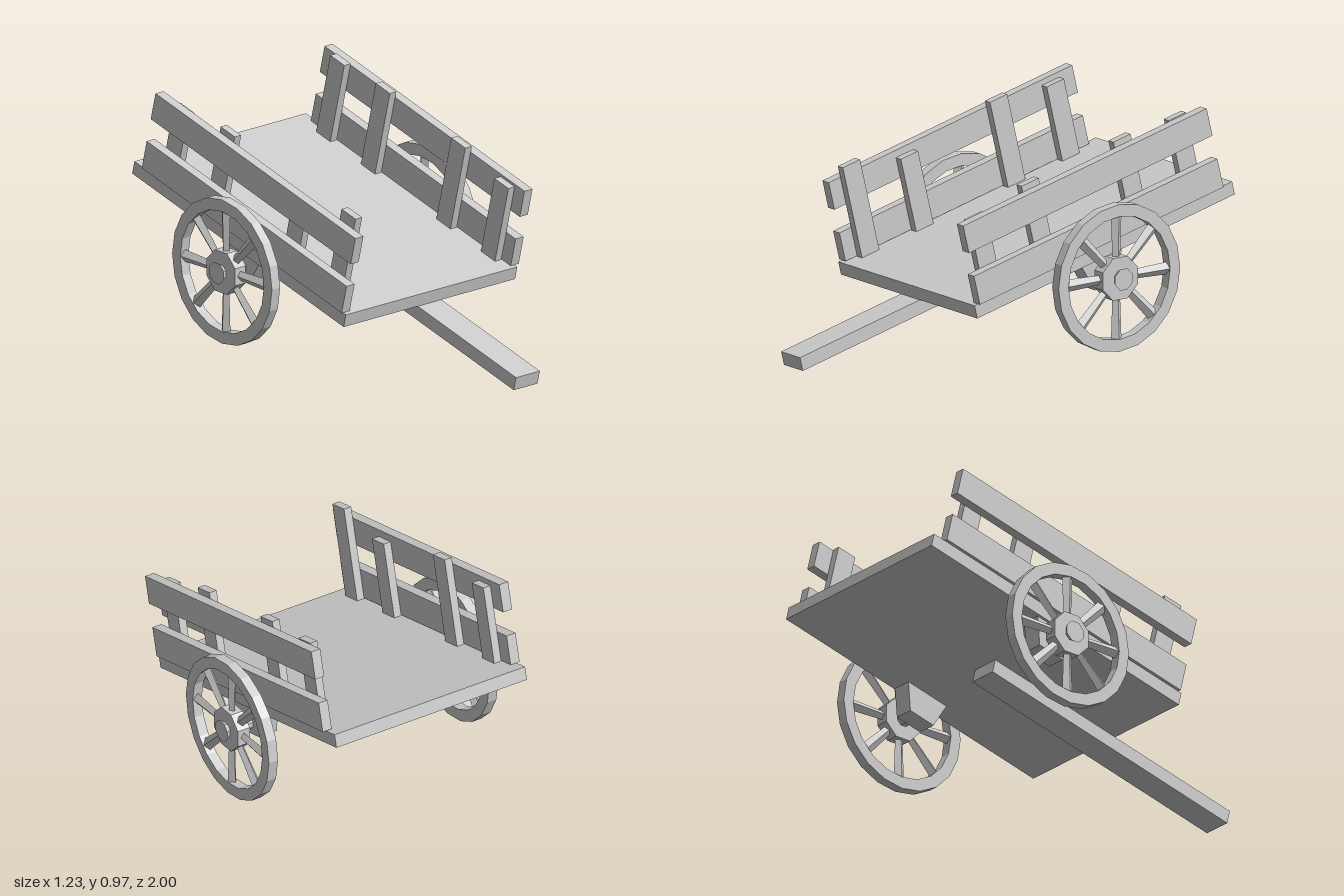
import * as THREE from 'three';

const material = new THREE.MeshStandardMaterial({ color: 0xcccccc, flatShading: true });

function add(parent, name, geometry, x = 0, y = 0, z = 0) {
  const mesh = new THREE.Mesh(geometry, material);
  mesh.name = name;
  mesh.position.set(x, y, z);
  parent.add(mesh);
  return mesh;
}

// Box given by its limits on each axis
function block(parent, name, [x0, x1], [y0, y1], [z0, z1]) {
  return add(parent, name, new THREE.BoxGeometry(Math.abs(x1 - x0), y1 - y0, z1 - z0),
    (x0 + x1) / 2, (y0 + y1) / 2, (z0 + z1) / 2);
}

// Cylinder lying along x; side = 1 or -1 turns its top end outward
function hubPart(parent, name, outerR, innerR, x0, x1, side) {
  const geometry = new THREE.CylinderGeometry(outerR, innerR, x1 - x0, 8);
  geometry.rotateY(Math.PI / 8);
  geometry.rotateZ(-side * Math.PI / 2);
  return add(parent, name, geometry, side * (x0 + x1) / 2);
}

function makeWheel(side) {
  const wheel = new THREE.Group();
  wheel.name = side > 0 ? 'leftWheel' : 'rightWheel';
  wheel.position.set(0, 0.327, -0.31);
  const x = 0.56 * side;

  // Rim: rectangular section swept round the axle
  const section = [[0.27, -0.023], [0.323, -0.023], [0.323, 0.023], [0.27, 0.023], [0.27, -0.023]]
    .map(([r, h]) => new THREE.Vector2(r, h));
  add(wheel, 'rim', new THREE.LatheGeometry(section, 20).rotateZ(Math.PI / 2), x);

  // Eight diamond-section spokes
  for (let i = 0; i < 8; i++) {
    const spoke = new THREE.CylinderGeometry(0.028, 0.02, 0.21, 4);
    spoke.scale(0.75, 1, 1);
    spoke.translate(0, 0.175, 0);
    spoke.rotateX(i * Math.PI / 4);
    add(wheel, 'spoke', spoke, x);
  }

  hubPart(wheel, 'hub', 0.1, 0.1, 0.53, 0.59, side);
  hubPart(wheel, 'axle', 0.035, 0.035, 0.43, 0.6, side);
  hubPart(wheel, 'axleCap', 0.05, 0.03, 0.585, 0.614, side);
  return wheel;
}

export function createModel() {
  const cart = new THREE.Group();
  cart.name = 'handCart';

  // Everything but the wheels leans forward onto the pole
  const body = new THREE.Group();
  body.name = 'body';
  body.position.set(0, 0.43, -0.309);
  body.rotation.x = 0.244;
  cart.add(body);

  block(body, 'bed', [-0.488, 0.48], [-0.03, 0.03], [-0.705, 0.705]);
  block(body, 'pole', [-0.067, 0.067], [-0.094, -0.032], [0.02, 1.358]);

  // Slat positions along the bed, with the top heights on each side
  const slats = [
    { z: 0.58, left: 0.39, right: 0.453 },
    { z: 0.283, left: 0.43, right: 0.37 },
    { z: -0.22, left: 0.429, right: 0.429 },
    { z: -0.518, left: 0.407, right: 0.378 },
  ];

  for (const side of [1, -1]) {
    const rail = [side * 0.455, side * 0.5];
    block(body, 'lowerRail', rail, [0.033, 0.166], [-0.643, 0.69]);
    block(body, 'upperRail', rail, [0.275, 0.402], [-0.643, 0.69]);
    for (const s of slats) {
      block(body, 'slat', [side * 0.42, side * 0.456],
        [0.028, side > 0 ? s.left : s.right], [s.z - 0.047, s.z + 0.047]);
    }

    // Tapered axle bracket under the bed
    const bracket = new THREE.BoxGeometry(0.09, 0.13, 0.22);
    const p = bracket.attributes.position;
    for (let i = 0; i < p.count; i++) if (p.getY(i) < 0) p.setZ(i, p.getZ(i) * 0.6);
    add(body, 'axleBracket', bracket, side * 0.43, -0.09, 0.02);

    cart.add(makeWheel(side));
  }
  return cart;
}
